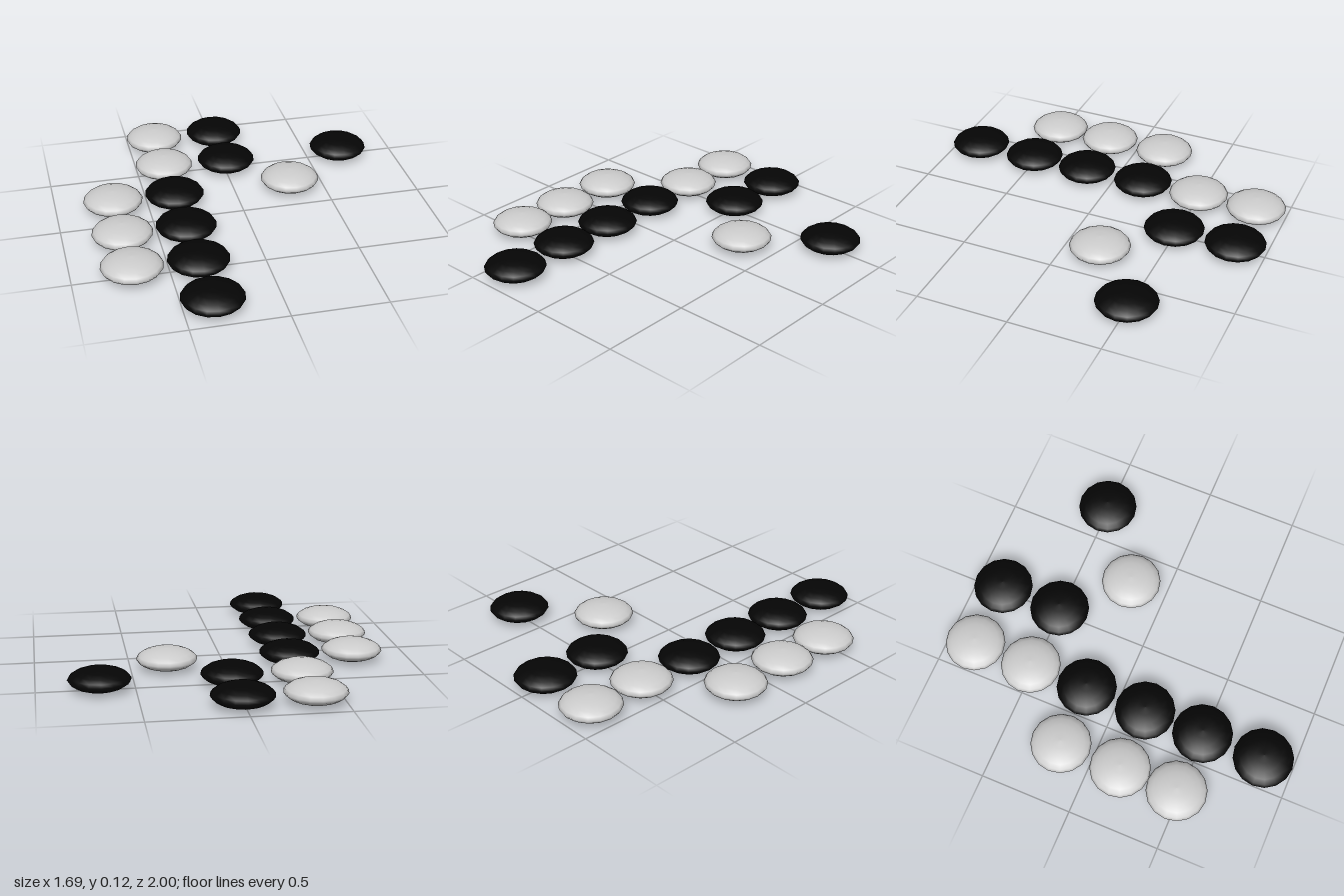
import * as THREE from 'three';

const RADIUS = 0.162;
const HALF_HEIGHT = 0.058;

// Stone centres on the board plane as [x, z]
const LIGHT = [[-0.35, -0.84], [-0.35, -0.51], [-0.69, -0.18], [-0.69, 0.16], [-0.69, 0.48], [0.31, -0.2]];
const DARK = [[0.01, -0.84], [0.01, -0.5], [0.68, -0.5], [-0.35, -0.18], [-0.35, 0.16], [-0.35, 0.49], [-0.35, 0.835]];

// Lens-shaped stone: a half profile mirrored about the rim and turned
function stoneGeometry() {
  const upper = [[1, 0], [0.93, 0.29], [0.78, 0.58], [0.55, 0.82], [0.28, 0.95], [0, 1]];
  const lower = upper.slice(1).reverse().map(([r, y]) => [r, -y]);
  const points = [...lower, ...upper].map(([r, y]) => new THREE.Vector2(r * RADIUS, y * HALF_HEIGHT));
  return new THREE.LatheGeometry(points, 16);
}

export function createModel() {
  const model = new THREE.Group();
  model.name = 'boardGameStones';
  const geometry = stoneGeometry();

  const addStones = (name, color, centres) => {
    const material = new THREE.MeshStandardMaterial({ color });
    const group = new THREE.Group();
    group.name = name + 's';
    centres.forEach(([x, z], i) => {
      const stone = new THREE.Mesh(geometry, material);
      stone.name = name + (i + 1);
      stone.position.set(x, HALF_HEIGHT, z);
      group.add(stone);
    });
    model.add(group);
  };

  addStones('lightStone', 0xcccccc, LIGHT);
  addStones('darkStone', 0x050505, DARK);
  return model;
}
